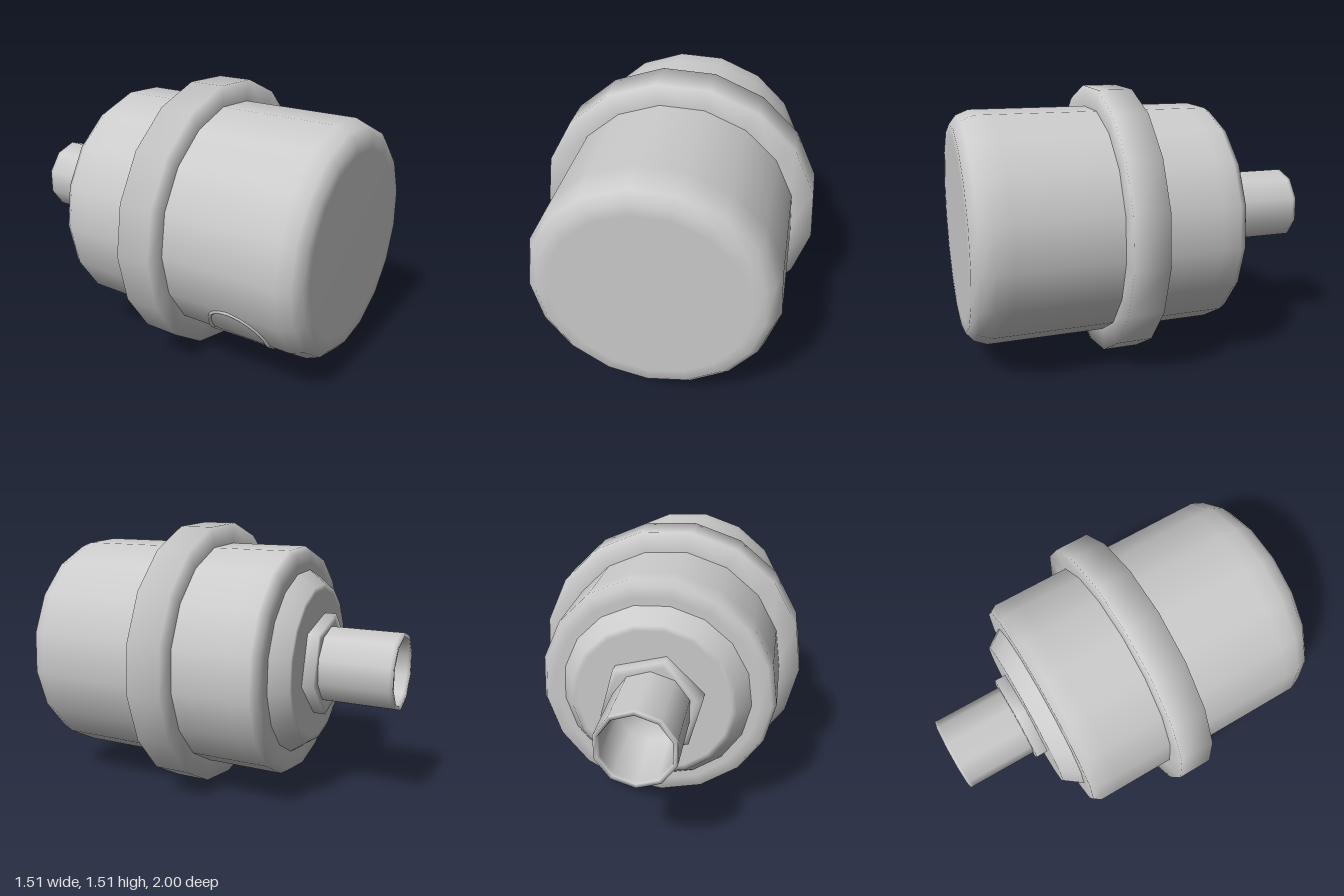
import * as THREE from 'three';

const AXIS_Y = 0.76;
const SIDES = 17;
const START = -0.04;

export function createModel() {
  const group = new THREE.Group();
  const grey = new THREE.MeshStandardMaterial({ color: 0xcccccc, side: THREE.DoubleSide });

  // Turned part along z; profile is [radius, z], listed from back to front
  function turned(name, profile, sides = SIDES, start = START) {
    const points = profile.map(([r, z]) => new THREE.Vector2(r, z));
    const geometry = new THREE.LatheGeometry(points, sides, start);
    geometry.rotateX(Math.PI / 2);
    geometry.translate(0, AXIS_Y, 0);
    const mesh = new THREE.Mesh(geometry, grey);
    mesh.name = name;
    group.add(mesh);
  }

  // Main can with bevelled rims
  turned('body', [
    [0, -0.44], [0.55, -0.44], [0.615, -0.44], [0.64, -0.4], [0.64, -0.3],
    [0.64, 0.14], [0.64, 0.8], [0.64, 0.89], [0.612, 0.96], [0.565, 0.998], [0.5, 1], [0, 1],
  ]);

  // Raised band around the middle
  turned('flange', [[0.62, 0.045], [0.757, 0.045], [0.757, 0.24], [0.62, 0.24]]);

  // Tapered back plate
  turned('backCone', [[0, -0.535], [0.41, -0.535], [0.44, -0.535], [0.51, -0.44]]);

  // Hexagonal nut at the pipe root
  turned('hexNut', [[0, -0.6], [0.24, -0.6], [0.28, -0.6], [0.28, -0.53]], 6, Math.PI / 12);

  // Hollow outlet pipe
  turned('outletPipe', [
    [0, -0.62], [0.18, -0.62], [0.185, -0.98], [0.19, -1], [0.212, -1], [0.212, -0.98], [0.212, -0.59],
  ], 10, 0);

  // Thin ring wrapped on the lower side of the can
  const step = (2 * Math.PI) / SIDES;
  const points = [];
  for (let i = 0; i < 24; i++) {
    const t = (i / 24) * 2 * Math.PI;
    const phi = START - 2 * step + Math.cos(t) * step * 0.98;
    // distance to the flat facet at this angle
    const local = phi - START - step * (Math.floor((phi - START) / step) + 0.5);
    const r = (0.64 * Math.cos(step / 2)) / Math.cos(local);
    points.push(new THREE.Vector3(r * Math.sin(phi), AXIS_Y - r * Math.cos(phi), 0.6 + 0.17 * Math.sin(t)));
  }
  const path = new THREE.CatmullRomCurve3(points, true);
  const ring = new THREE.Mesh(new THREE.TubeGeometry(path, 48, 0.01, 6, true), grey);
  ring.name = 'sidePortRing';
  group.add(ring);

  return group;
}
